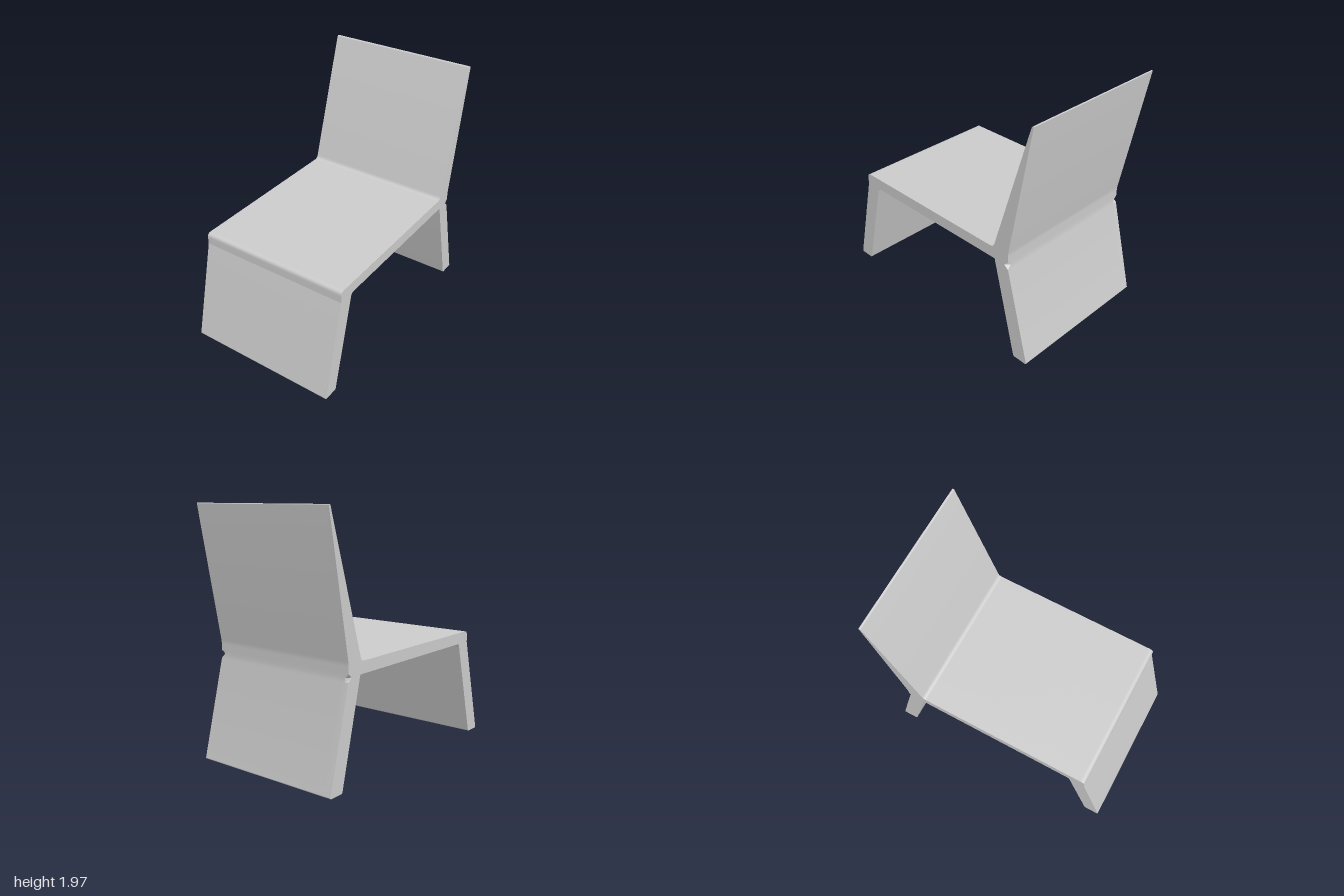
import * as THREE from 'three';
import { toCreasedNormals } from 'three/addons/utils/BufferGeometryUtils.js';

const WIDTH = 1.26;
const STEPS = 42;

// Closed shape from [z, y, radius] corners; a radius of 0 keeps the corner sharp
function roundedShape(corners) {
  const shape = new THREE.Shape();
  const n = corners.length;
  corners.forEach(([z, y, r], i) => {
    const p = new THREE.Vector2(z, y);
    const toward = ([a, b]) => new THREE.Vector2(a, b).sub(p).setLength(r).add(p);
    const start = toward(corners[(i + n - 1) % n]);
    const end = toward(corners[(i + 1) % n]);
    if (i === 0) shape.moveTo(start.x, start.y);
    else shape.lineTo(start.x, start.y);
    if (r > 0) shape.quadraticCurveTo(p.x, p.y, end.x, end.y);
  });
  shape.closePath();
  return shape;
}

export function createModel() {
  const group = new THREE.Group();
  group.name = 'chair';

  // Side profile: front leg, seat, tapered backrest and rear leg in one sheet
  const notch = [-0.765, 0.8];
  const profile = roundedShape([
    [1, 0, 0.012],
    [0.87, 0, 0.012],
    [0.67, 0.803, 0.025],
    [-0.67, 0.803, 0],
    [-0.87, 0, 0.012],
    [-1, 0, 0.012],
    [-0.803, 0.77, 0],
    [...notch, 0],
    [-0.8, 0.83, 0],
    [-0.8, 0.9, 0.02],
    [-1, 1.966, 0.008],
    [-0.985, 1.966, 0.012],
    [-0.657, 0.895, 0.03],
    [0.803, 0.895, 0.036],
    [0.803, 0.8, 0],
  ].reverse());

  const geometry = new THREE.ExtrudeGeometry(profile, {
    depth: WIDTH, steps: STEPS, bevelEnabled: false, curveSegments: 12,
  });
  geometry.translate(0, 0, -WIDTH / 2);

  // The notch behind the joint is only a dimple at each end; fill it in between
  const pos = geometry.attributes.position;
  for (let i = 0; i < pos.count; i++) {
    const atNotch = Math.hypot(pos.getX(i) - notch[0], pos.getY(i) - notch[1]) < 0.002;
    if (atNotch && Math.abs(pos.getZ(i)) < WIDTH / 2 - 0.01) pos.setX(i, -0.8);
  }
  geometry.rotateY(-Math.PI / 2);

  const body = new THREE.Mesh(
    toCreasedNormals(geometry, 0.22),
    new THREE.MeshStandardMaterial({ color: 0xcccccc }),
  );
  body.name = 'foldedSeatBackAndLegs';
  group.add(body);
  return group;
}
